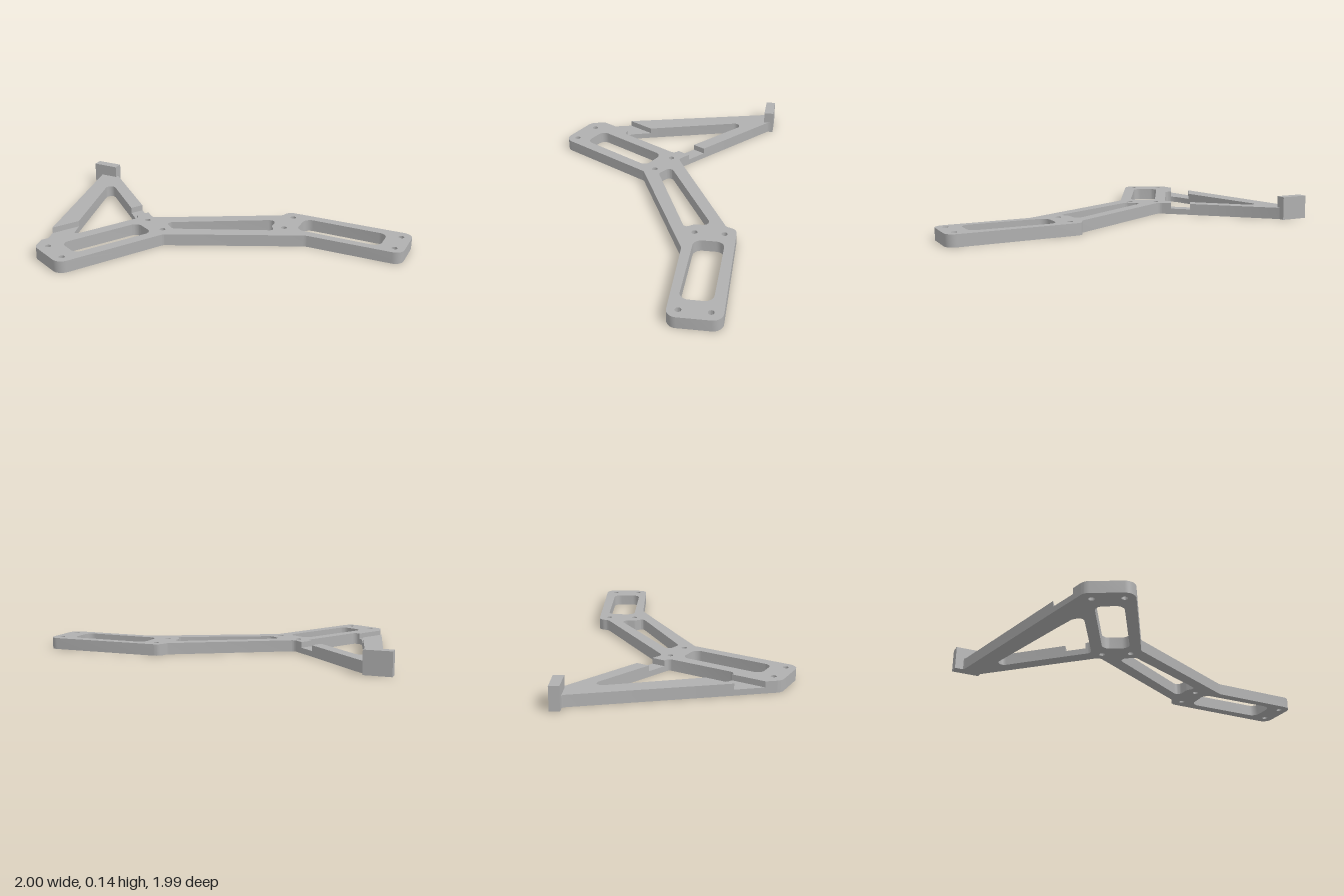
import * as THREE from 'three';
import { toCreasedNormals } from 'three/addons/utils/BufferGeometryUtils.js';

const THICK = 0.07;

// Trace a closed polygon of [x, z, radius] corners with filleted corners
function trace(path, pts) {
  const n = pts.length;
  const v = pts.map(([x, z]) => new THREE.Vector2(x, -z));
  for (let i = 0; i < n; i++) {
    const p = v[i], r = pts[i][2] || 0;
    const a = v[(i + n - 1) % n].clone().sub(p).normalize();
    const b = v[(i + 1) % n].clone().sub(p).normalize();
    const angle = Math.acos(THREE.MathUtils.clamp(a.dot(b), -1, 1));
    const d = r / Math.tan(angle / 2);
    const s = p.clone().addScaledVector(a, d);
    if (i === 0) path.moveTo(s.x, s.y);
    else path.lineTo(s.x, s.y);
    if (r > 0) {
      const e = p.clone().addScaledVector(b, d);
      const k = d - (4 / 3) * Math.tan((Math.PI - angle) / 4) * r;
      const c1 = p.clone().addScaledVector(a, k);
      const c2 = p.clone().addScaledVector(b, k);
      path.bezierCurveTo(c1.x, c1.y, c2.x, c2.y, e.x, e.y);
    }
  }
  path.closePath();
  return path;
}

// Extrude an outline upward from the ground
function slab(name, material, height, outline, holes = []) {
  const shape = trace(new THREE.Shape(), outline);
  shape.holes.push(...holes);
  const geo = new THREE.ExtrudeGeometry(shape, { depth: height, bevelEnabled: false, curveSegments: 8 });
  geo.rotateX(-Math.PI / 2);
  const mesh = new THREE.Mesh(toCreasedNormals(geo, 0.6), material);
  mesh.name = name;
  return mesh;
}

export function createModel() {
  const group = new THREE.Group();
  group.name = 'bracket';
  const grey = new THREE.MeshStandardMaterial({ color: 0xb0b0b0 });
  grey.name = 'plain grey';

  // Bent main arm, ending at the near edge of the brace notch
  const arm = [
    [-0.945, -0.06], [-1.005, 0.012, 0.06], [-0.957, 0.273, 0.06], [-0.285, 0.18, 0.03],
    [0.45, 0.565, 0.05], [0.793, 1.012, 0.056], [1.023, 0.836, 0.056],
    [0.55, 0.225, 0.05], [0.49, 0.25, 0.04], [-0.238, -0.077, 0.035],
    [-0.229, -0.158], [-0.31, -0.147], [-0.315, -0.108, 0.03],
    [-0.745, -0.05, 0.03], [-0.743, -0.087],
  ];

  // Long lightening slots
  const slots = [
    [[-0.855, 0.032, 0.045], [-0.355, -0.035, 0.045], [-0.33, 0.122, 0.045], [-0.83, 0.188, 0.045]],
    [[-0.2, 0.026, 0.03], [0.425, 0.297, 0.032], [0.345, 0.358, 0.04], [0.325, 0.42, 0.022], [-0.2, 0.131, 0.03]],
    [[0.447, 0.466, 0.05], [0.585, 0.36, 0.05], [0.888, 0.765, 0.05], [0.745, 0.872, 0.05]],
  ].map((pts) => trace(new THREE.Path(), pts));

  // Screw holes in pairs along the arm
  const screwHoles = [
    [-0.935, 0.037], [-0.91, 0.206], [-0.28, -0.053], [-0.257, 0.112],
    [0.53, 0.307], [0.398, 0.412], [0.936, 0.829], [0.805, 0.93],
  ].map(([x, z]) => new THREE.Path().absarc(x, -z, 0.017, 0, Math.PI * 2, true));

  group.add(slab('mainArm', grey, THICK, arm, [...slots, ...screwHoles]));

  // Half-height floors of the notch across both brace legs
  group.add(slab('rightNotchFloor', grey, THICK / 2, [
    [-0.945, -0.06], [-0.743, -0.087], [-0.738, -0.118], [-0.66, -0.222], [-0.834, -0.198],
  ]));
  group.add(slab('leftNotchFloor', grey, THICK / 2, [
    [-0.31, -0.147], [-0.229, -0.158], [-0.217, -0.283], [-0.297, -0.272],
  ]));

  // Triangular brace
  group.add(slab('brace', grey, THICK, [
    [-0.834, -0.198], [-0.66, -0.222], [-0.243, -0.76, 0.032], [-0.297, -0.272],
    [-0.217, -0.283], [-0.157, -0.845, 0.01], [-0.14, -0.86], [-0.245, -0.925], [-0.253, -0.906, 0.01],
  ]));

  // Raised stop block at the brace tip
  group.add(slab('stopBlock', grey, 0.14, [
    [-0.275, -0.963], [-0.178, -0.83], [-0.13, -0.868], [-0.229, -1.0],
  ]));

  return group;
}
